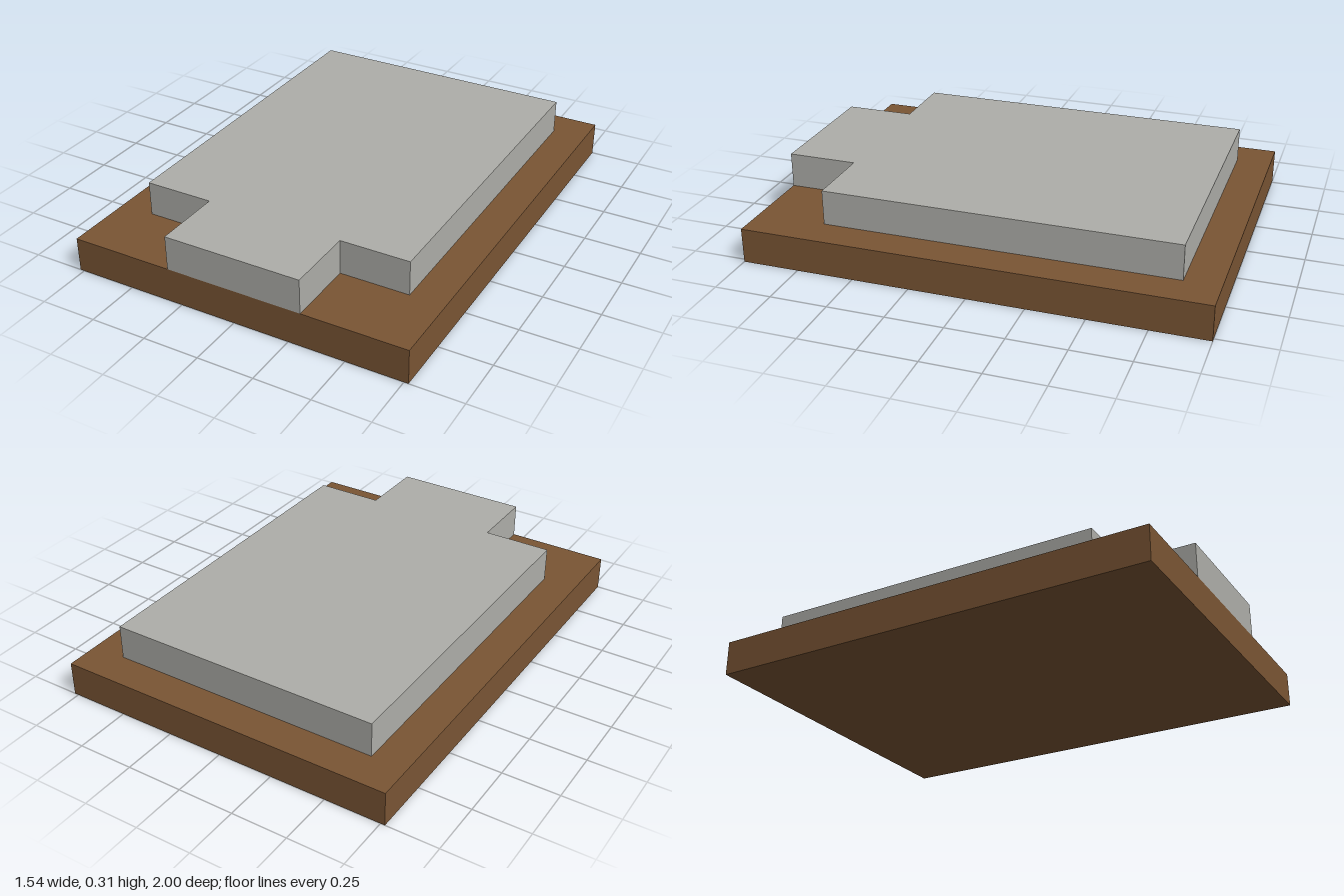
import * as THREE from 'three';

const U = 2 / 13; // grid module: the ground is 10 x 13 modules

export function createModel() {
  const model = new THREE.Group();
  model.name = 'foundationPlot';

  const soil = new THREE.MeshStandardMaterial({ color: 0x7a5534 });
  soil.name = 'brownSoil';
  const concrete = new THREE.MeshStandardMaterial({ color: 0xaeaea9 });
  concrete.name = 'greyConcrete';

  // Ground block
  const ground = new THREE.Mesh(new THREE.BoxGeometry(10 * U, U, 13 * U), soil);
  ground.name = 'ground';
  ground.position.y = U / 2;
  model.add(ground);

  // Foundation slab with a narrower entry path reaching the front edge
  const outline = [[-4, 5.5], [4, 5.5], [4, -4.5], [2, -4.5], [2, -6.5], [-2, -6.5], [-2, -4.5], [-4, -4.5]];
  const shape = new THREE.Shape(outline.map(([x, y]) => new THREE.Vector2(x * U, y * U)));
  const slabGeometry = new THREE.ExtrudeGeometry(shape, { depth: U, bevelEnabled: false });
  slabGeometry.rotateX(-Math.PI / 2); // shape y becomes -z, depth becomes height
  const slab = new THREE.Mesh(slabGeometry, concrete);
  slab.name = 'foundationSlab';
  slab.position.y = U;
  model.add(slab);

  return model;
}
